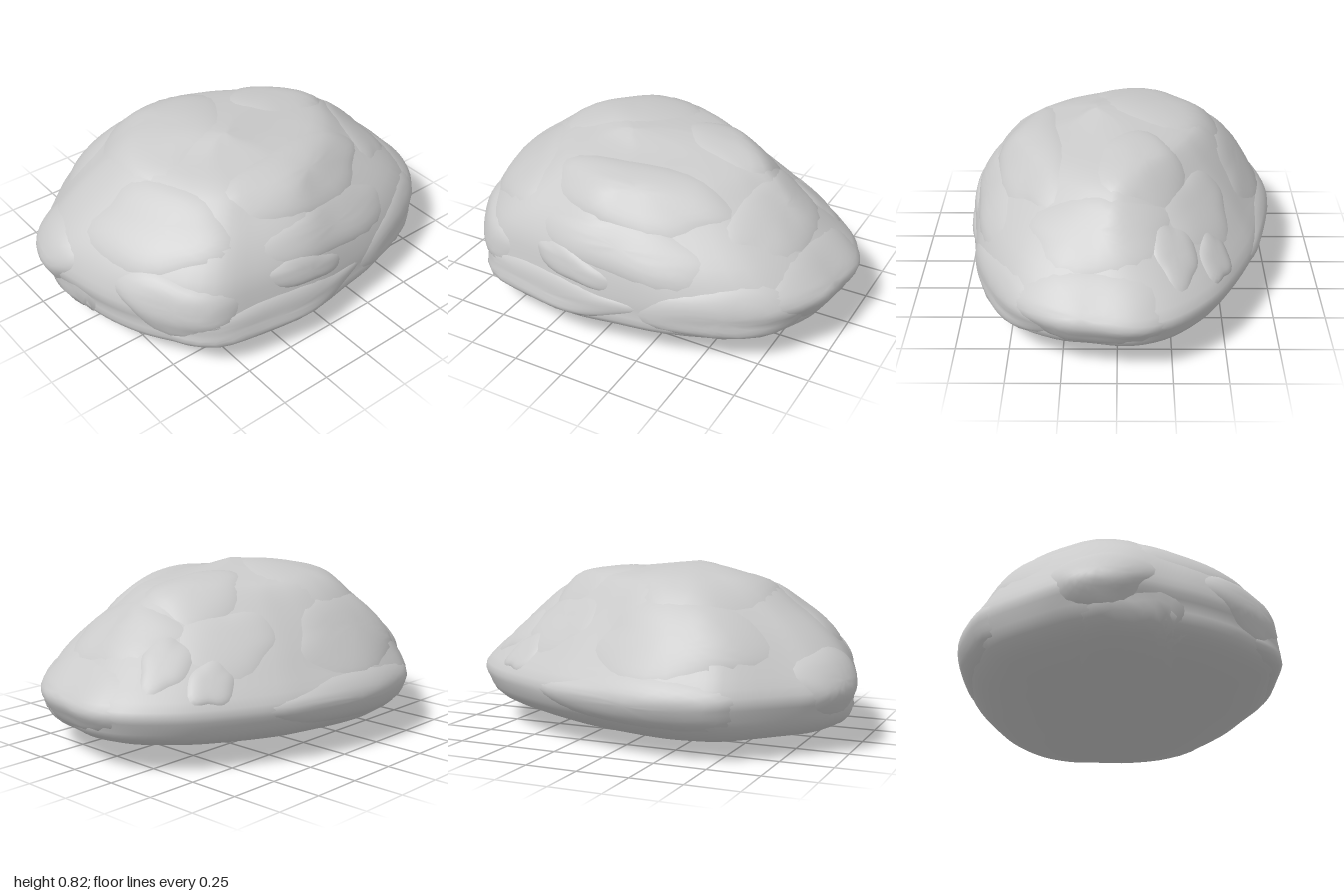
import * as THREE from 'three';
import { mergeVertices } from 'three/addons/utils/BufferGeometryUtils.js';

const stone = new THREE.MeshStandardMaterial({ color: 0xcacaca });
stone.name = 'grey stone';
stone.side = THREE.DoubleSide;

// Plan outline of the boulder (x, z), counter-clockwise from above
const OUTLINE = [
  [1, -0.08], [0.95, -0.24], [0.81, -0.4], [0.66, -0.51], [0.36, -0.66], [0.17, -0.71],
  [-0.2, -0.775], [-0.4, -0.76], [-0.56, -0.72], [-0.81, -0.5], [-0.93, -0.37], [-1, -0.17],
  [-0.97, 0.05], [-0.92, 0.25], [-0.83, 0.44], [-0.63, 0.66], [-0.4, 0.72], [-0.1, 0.77],
  [0.15, 0.74], [0.4, 0.69], [0.8, 0.5], [0.95, 0.27], [0.98, 0.1],
];

// Levels: height, then reach to -x, +x, +z, -z
const LEVELS = [
  [0, 0, 0, -0.08, 0.08], [0.01, 0.3, 0.22, 0.15, 0.28], [0.035, 0.58, 0.43, 0.4, 0.45],
  [0.08, 0.85, 0.71, 0.63, 0.61], [0.14, 0.96, 0.93, 0.76, 0.71], [0.22, 0.98, 0.98, 0.76, 0.765],
  [0.3, 1, 1, 0.75, 0.77], [0.42, 0.94, 0.88, 0.72, 0.69], [0.54, 0.83, 0.76, 0.66, 0.61],
  [0.64, 0.7, 0.65, 0.58, 0.535], [0.73, 0.57, 0.53, 0.47, 0.45], [0.775, 0.44, 0.36, 0.25, 0.36],
  [0.81, 0.27, 0.05, 0.15, 0.16], [0.825, 0.13, -0.13, 0.1, -0.1],
];

const CENTRE = new THREE.Vector3(0, 0.3, 0);

function gridGeometry(rows) {
  const n = rows[0].length, index = [];
  for (let i = 0; i < rows.length - 1; i++) {
    for (let j = 0; j < n; j++) {
      const a = i * n + j, b = i * n + (j + 1) % n;
      index.push(a, b, b + n, a, b + n, a + n);
    }
  }
  let geo = new THREE.BufferGeometry().setFromPoints(rows.flat());
  geo.setIndex(index);
  geo = mergeVertices(geo, 1e-5);
  geo.computeVertexNormals();
  return geo;
}

// Upper corners slope away more than the sides, except towards the back -x corner
function cornerCut(p, y) {
  const strength = p.x < 0 ? (p.z < 0 ? 0 : 0.08) : 0.15;
  const diagonal = Math.min(1, 2 * Math.abs(p.x * p.z));
  return 1 - strength * diagonal * THREE.MathUtils.smoothstep(y, 0.4, 0.75);
}

// Main body lofted through the levels
function coreGeometry() {
  const ring = new THREE.CatmullRomCurve3(
    OUTLINE.map(([x, z]) => new THREE.Vector3(x, 0, z / 0.775)), true).getPoints(92).slice(0, -1);
  const spline = (f) => new THREE.CatmullRomCurve3(LEVELS.map(f), false, 'catmullrom', 0.5);
  const sides = spline((l) => new THREE.Vector3(l[0], l[1], l[2]));
  const ends = spline((l) => new THREE.Vector3(l[0], l[3], l[4]));
  const rows = [];
  for (let i = 0; i <= 39; i++) {
    const s = sides.getPoint(i / 39), e = ends.getPoint(i / 39);
    rows.push(ring.map((p) => {
      const cut = cornerCut(p, s.x);
      const x = (s.z - s.y) / 2 + (s.z + s.y) / 2 * p.x * cut;
      const z = (e.y - e.z) / 2 + (e.y + e.z) / 2 * p.z * cut;
      const bump = 0.982 + 0.008 * Math.sin(5 * x + 7 * s.x) * Math.sin(6 * z - 4 * s.x + 1);
      return new THREE.Vector3(x * bump, s.x, z * bump);
    }));
  }
  return gridGeometry(rows);
}

// Overlapping slabs: name, point on the surface, half width, half height, tilt, lift
const SLABS = [
  ['frontBase', [-0.3, 0.21, 0.72], 0.64, 0.11, 0.02, 0.032],
  ['frontRightBase', [0.6, 0.25, 0.58], 0.46, 0.15, 0.05, 0.03],
  ['frontLeftLump', [-0.7, 0.33, 0.48], 0.34, 0.15, -0.15, 0.035],
  ['frontChip', [-0.12, 0.38, 0.68], 0.24, 0.08, -0.2, 0.03],
  ['frontLedge', [0.1, 0.5, 0.62], 0.5, 0.15, -0.1, 0.026],
  ['frontCrest', [0.08, 0.69, 0.42], 0.54, 0.2, -0.1, 0.042],
  ['leftShoulder', [-0.62, 0.6, 0.25], 0.38, 0.22, 0.1, 0.03],
  ['sideFace', [0.93, 0.32, 0.15], 0.46, 0.18, 0, 0.03],
  ['sideShoulder', [0.68, 0.6, 0.08], 0.42, 0.18, 0.05, 0.028],
  ['sideChip', [0.72, 0.5, -0.28], 0.12, 0.14, 0.4, 0.034],
  ['backCornerChip', [0.64, 0.42, -0.5], 0.11, 0.11, 0.3, 0.035],
  ['backCornerSlab', [0.45, 0.6, -0.45], 0.26, 0.18, 0.2, 0.028],
  ['backFace', [-0.25, 0.55, -0.6], 0.5, 0.23, 0, 0.03],
  ['backBase', [-0.1, 0.25, -0.75], 0.64, 0.14, 0, 0.03],
  ['backLeftLump', [-0.92, 0.34, -0.24], 0.26, 0.18, 0, 0.034],
  ['topSlab', [-0.28, 0.8, -0.22], 0.44, 0.34, 0, 0.03],
  ['topSideSlab', [0.33, 0.77, -0.12], 0.24, 0.28, 0.1, 0.035],
  ['undersideSlab', [-0.6, 0.06, -0.05], 0.24, 0.3, 0.3, 0.025],
];

// A low dome with an irregular edge that follows the body and sinks into it at the rim
function slabGeometry(core, [, at, w, h, tilt, lift], seed) {
  const caster = new THREE.Raycaster();
  const project = (p, k) => {
    const dir = p.clone().sub(CENTRE).normalize();
    caster.set(CENTRE.clone().addScaledVector(dir, 3), dir.clone().negate());
    const hit = caster.intersectObject(core)[0];
    const q = hit ? hit.point : p.clone();
    return q.sub(CENTRE).multiplyScalar(k).add(CENTRE);
  };
  const mid = project(new THREE.Vector3(...at), 1);
  const n = mid.clone().sub(CENTRE).normalize();
  const u = new THREE.Vector3(0, 1, 0).cross(n).normalize();
  const v = n.clone().cross(u).applyAxisAngle(n, tilt);
  u.applyAxisAngle(n, tilt);
  const rows = [];
  for (let i = 0; i <= 8; i++) {
    const r = i / 8;
    rows.push(Array.from({ length: 28 }, (_, j) => {
      const a = j / 28 * Math.PI * 2;
      const edge = 1 + 0.09 * Math.sin(3 * a + seed * 2.1) + 0.06 * Math.sin(5 * a + seed * 1.3);
      const p = mid.clone().addScaledVector(u, w * r * edge * Math.cos(a))
        .addScaledVector(v, h * r * edge * Math.sin(a));
      return project(p, 1 + lift * (1 - r ** 4) - 0.012);
    }));
  }
  return gridGeometry(rows);
}

export function createModel() {
  const model = new THREE.Group();
  model.name = 'boulder';
  const core = new THREE.Mesh(coreGeometry(), stone);
  core.name = 'rockBody';
  model.add(core);
  SLABS.forEach((slab, i) => {
    const mesh = new THREE.Mesh(slabGeometry(core, slab, i + 1), stone);
    mesh.name = slab[0];
    model.add(mesh);
  });
  return model;
}
